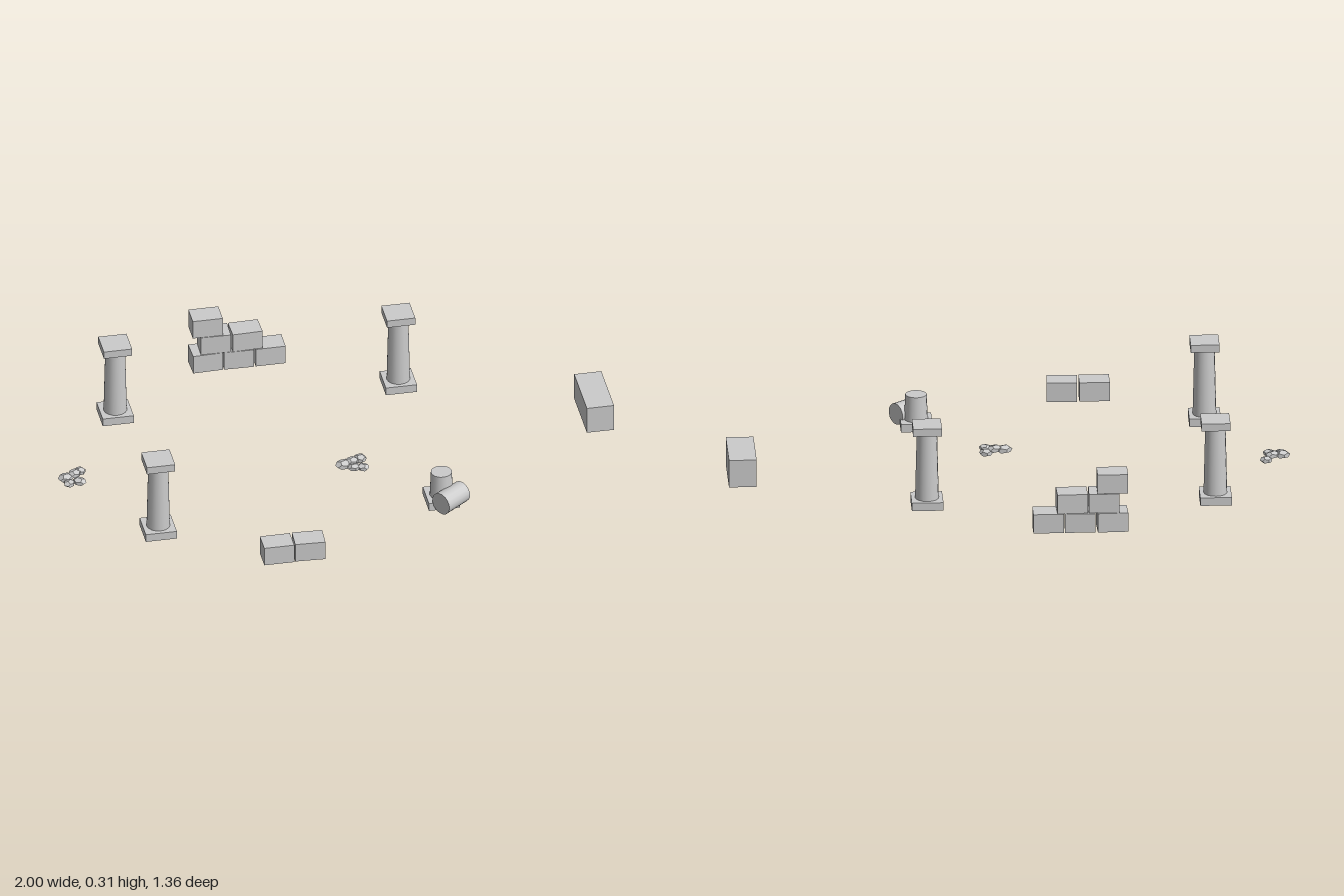
import * as THREE from 'three';

const material = new THREE.MeshStandardMaterial({ color: 0xcccccc });
const stoneMaterial = new THREE.MeshStandardMaterial({ color: 0xcccccc, flatShading: true });

function add(parent, name, geometry, x, y, z, mat = material) {
  const mesh = new THREE.Mesh(geometry, mat);
  mesh.name = name;
  mesh.position.set(x, y, z);
  parent.add(mesh);
  return mesh;
}

// Square base, tapered shaft and (when whole) a square capital
function column(name, x, z, broken = false) {
  const group = new THREE.Group();
  group.name = name;
  group.position.set(x, 0, z);
  const top = broken ? 0.123 : 0.282;
  const topRadius = broken ? 0.038 : 0.036;
  add(group, 'base', new THREE.BoxGeometry(0.112, 0.03, 0.112), 0, 0.015, 0);
  add(group, 'shaft', new THREE.CylinderGeometry(topRadius, 0.042, top - 0.03, 16), 0, (top + 0.03) / 2, 0);
  if (!broken) add(group, 'capital', new THREE.BoxGeometry(0.102, 0.028, 0.102), 0, 0.294, 0);
  return group;
}

// Rows of loose masonry blocks: [x, row, turn]
function wall(name, z, blocks) {
  const group = new THREE.Group();
  group.name = name;
  group.position.z = z;
  for (const [x, row, turn] of blocks) {
    const block = add(group, 'wallBlock', new THREE.BoxGeometry(0.108, 0.071, 0.08), x, 0.0365 + row * 0.073, 0);
    block.rotation.y = turn;
  }
  return group;
}

// Small heap of flattened stones: [x, z, radius, stretch, turn, height]
function rubble(name, x, z, stones) {
  const group = new THREE.Group();
  group.name = name;
  group.position.set(x, 0, z);
  for (const [sx, sz, r, stretch, turn, y] of stones) {
    const stone = add(group, 'stone', new THREE.DodecahedronGeometry(r), sx, y, sz, stoneMaterial);
    stone.scale.set(stretch, 0.6, 1);
    stone.rotation.y = turn;
  }
  return group;
}

export function createModel() {
  const model = new THREE.Group();
  model.name = 'ruins';

  // Columns at the four corners, one of them broken
  model.add(column('backRightColumn', -0.714, -0.382));
  model.add(column('backLeftColumn', 0.307, -0.382));
  model.add(column('frontRightColumn', -0.714, 0.387));
  model.add(column('brokenColumn', 0.307, 0.387, true));

  // Fallen drum leaning by the broken column
  const drum = add(model, 'fallenDrum', new THREE.CylinderGeometry(0.039, 0.041, 0.112, 16), 0.333, 0.042, 0.437);
  drum.quaternion.setFromUnitVectors(new THREE.Vector3(0, 1, 0), new THREE.Vector3(0.8, 0, -0.6));

  // Ruined walls
  model.add(wall('backWall', -0.64, [
    [-0.336, 0, 0.03], [-0.222, 0, -0.02], [-0.109, 0, 0],
    [-0.306, 1, -0.02], [-0.193, 1, 0.03],
    [-0.336, 2, 0],
  ]));
  model.add(wall('frontWall', 0.637, [[-0.336, 0, 0], [-0.222, 0, -0.05]]));

  // Long fallen block
  add(model, 'longBlock', new THREE.BoxGeometry(0.098, 0.102, 0.228), 0.948, 0.051, -0.06);

  // Rubble heaps
  model.add(rubble('sideRubble', -0.944, 0, [
    [-0.026, 0.004, 0.025, 1.15, 0.3, 0.018],
    [0.008, -0.01, 0.022, 1.2, 0.7, 0.023],
    [0.033, -0.036, 0.022, 1.0, 0.5, 0.014],
    [0.018, 0.03, 0.022, 1.2, -0.8, 0.014],
    [-0.02, 0.034, 0.021, 1.1, 0.9, 0.013],
  ]));
  model.add(rubble('middleRubble', 0.04, 0.108, [
    [-0.03, 0.002, 0.026, 1.2, 0.4, 0.016],
    [0.002, -0.006, 0.023, 1.2, 0.6, 0.021],
    [0.035, -0.027, 0.024, 1.0, 0.2, 0.015],
    [0.035, 0.028, 0.021, 1.1, -0.7, 0.013],
    [0.005, 0.022, 0.021, 1.2, 0.1, 0.013],
  ]));
  return model;
}
